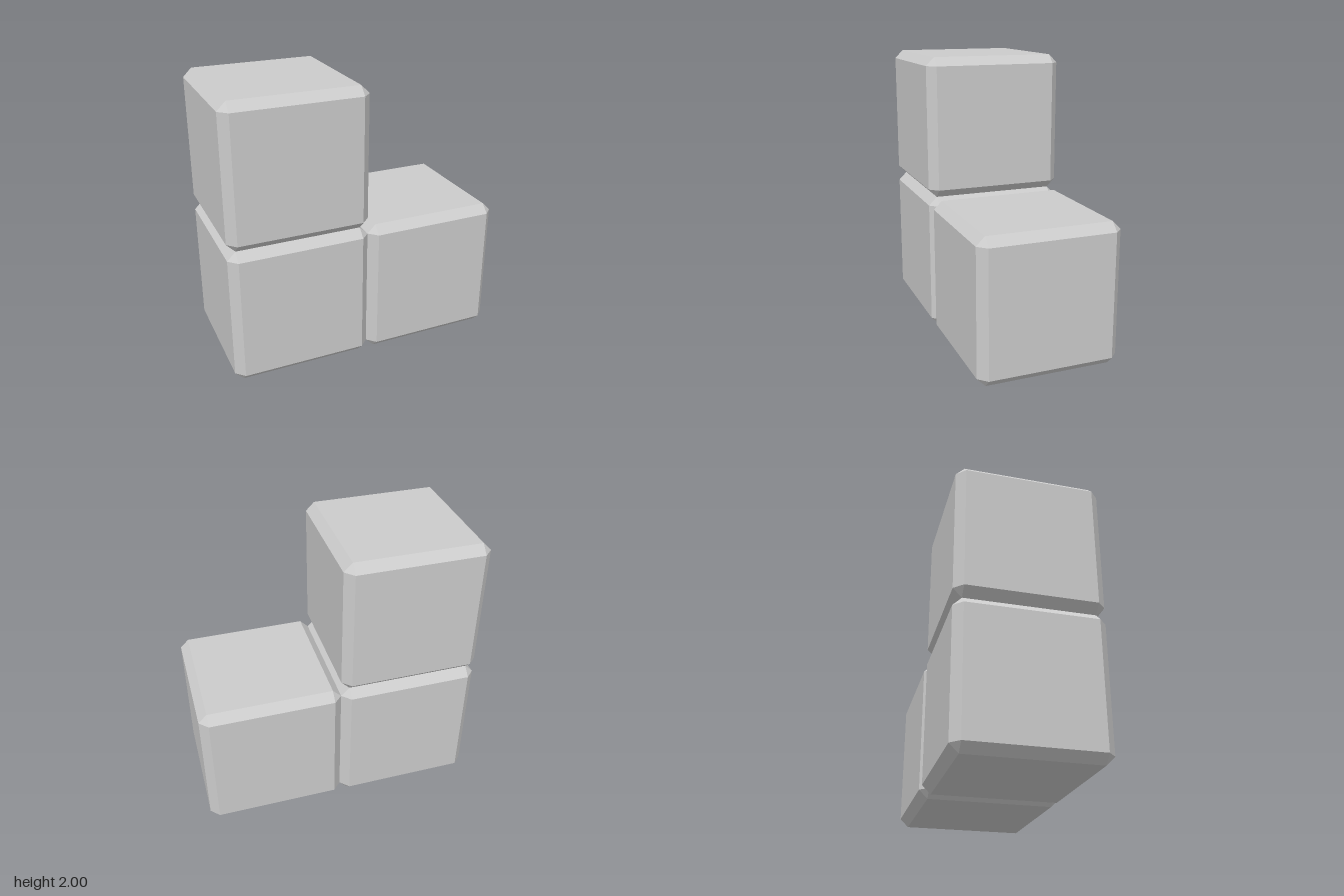
import * as THREE from 'three';
import { ConvexGeometry } from 'three/addons/geometries/ConvexGeometry.js';

// Cube with flat bevelled edges and triangular corners
function chamferedCube(size, bevel) {
  const h = size / 2, i = h - bevel;
  const points = [];
  for (const sx of [-1, 1]) for (const sy of [-1, 1]) for (const sz of [-1, 1]) {
    points.push(
      new THREE.Vector3(sx * h, sy * i, sz * i),
      new THREE.Vector3(sx * i, sy * h, sz * i),
      new THREE.Vector3(sx * i, sy * i, sz * h)
    );
  }
  return new ConvexGeometry(points);
}

export function createModel() {
  const model = new THREE.Group();
  model.name = 'cornerBlock';
  const material = new THREE.MeshStandardMaterial({ color: 0xcccccc, flatShading: true });
  const geometry = chamferedCube(1, 0.06);

  // Three cubes in an L: corner, one beside it, one on top
  const cubes = [
    ['cornerCube', -0.5, 0.5],
    ['sideCube', 0.5, 0.5],
    ['topCube', -0.5, 1.5],
  ];
  for (const [name, x, y] of cubes) {
    const cube = new THREE.Mesh(geometry, material);
    cube.name = name;
    cube.position.set(x, y, 0);
    model.add(cube);
  }
  return model;
}
